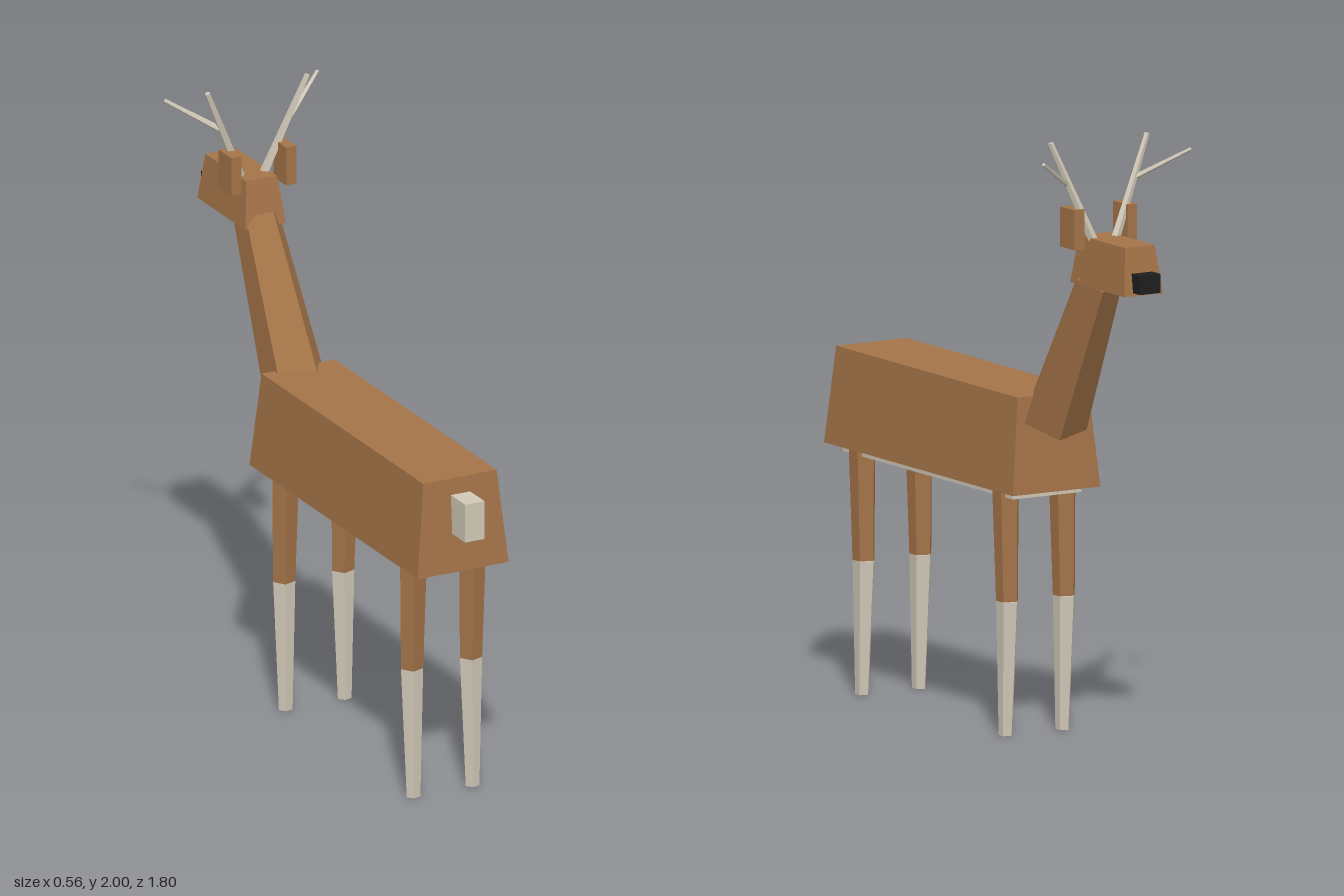
import * as THREE from 'three';

const material = (name, color) => {
  const m = new THREE.MeshStandardMaterial({ color });
  m.name = name;
  return m;
};

export function createModel() {
  const model = new THREE.Group();
  model.name = 'deer';
  const brown = material('brown coat', 0xa37348);
  const cream = material('cream', 0xd0c8b7);
  const black = material('black', 0x1e1e20);

  // Adds a faceted mesh
  function add(name, geometry, mat) {
    const flat = geometry.toNonIndexed();
    flat.computeVertexNormals();
    const mesh = new THREE.Mesh(flat, mat);
    mesh.name = name;
    model.add(mesh);
    return mesh;
  }

  // Block between [x0,x1], [y0,y1], [z0,z1]; its top face is drawn in by tx, tzBack and tzFront
  function block(name, mat, [x0, x1], [y0, y1], [z0, z1], tx = 0, tzMin = 0, tzMax = 0) {
    const g = new THREE.BoxGeometry(1, 1, 1);
    const p = g.attributes.position;
    for (let i = 0; i < p.count; i++) {
      const t = p.getY(i) > 0 ? 1 : 0;
      p.setXYZ(i,
        p.getX(i) > 0 ? x1 - t * tx : x0 + t * tx,
        t ? y1 : y0,
        p.getZ(i) > 0 ? z1 - t * tzMax : z0 + t * tzMin);
    }
    return add(name, g, mat);
  }

  // Tapered five-sided limb from a to b, turned about its own axis
  function limb(name, mat, a, b, ra, rb, turn) {
    const start = new THREE.Vector3(...a);
    const end = new THREE.Vector3(...b);
    const axis = end.clone().sub(start);
    const g = new THREE.CylinderGeometry(rb, ra, axis.length(), 5);
    g.rotateY(turn);
    const mesh = add(name, g, mat);
    mesh.quaternion.setFromUnitVectors(new THREE.Vector3(0, 1, 0), axis.normalize());
    mesh.position.copy(start.add(end).multiplyScalar(0.5));
    return mesh;
  }

  // Torso, belly and tail
  block('body', brown, [-0.165, 0.165], [0.805, 1.12], [-0.33, 0.82], 0.032, 0.022, 0.022);
  block('belly', cream, [-0.13, 0.13], [0.782, 0.81], [-0.272, 0.762]);
  block('tail', cream, [-0.035, 0.035], [0.935, 1.065], [0.79, 0.9]);

  // Neck and head
  limb('neck', brown, [0, 1.035, -0.312], [0, 1.54, -0.587], 0.11, 0.078, Math.PI / 2);
  block('head', brown, [-0.073, 0.073], [1.525, 1.68], [-0.86, -0.53], 0.017, 0.023, 0.028);
  block('nose', black, [-0.039, 0.039], [1.535, 1.597], [-0.9, -0.82]);

  for (const [side, s] of [['left', 1], ['right', -1]]) {
    // Ears
    block(side + 'Ear', brown, s > 0 ? [0.081, 0.118] : [-0.118, -0.081], [1.647, 1.777], [-0.63, -0.542]);

    // Antlers
    limb(side + 'Antler', cream, [s * 0.035, 1.655, -0.622], [s * 0.182, 1.996, -0.587], 0.016, 0.009, Math.PI / 2);
    limb(side + 'AntlerBranch', cream, [s * 0.13, 1.86, -0.602], [s * 0.278, 1.952, -0.7], 0.01, 0.006, Math.PI / 2);

    // Legs with a slight bend at the knee
    for (const [end, z] of [['Front', -0.197], ['Back', 0.677]]) {
      const x = s * 0.107;
      const knee = [x, 0.44, z - 0.009];
      limb(side + end + 'UpperLeg', brown, knee, [x, 0.82, z], 0.038, 0.046, -Math.PI / 2);
      limb(side + end + 'LowerLeg', cream, [x, 0.001, z + 0.003], knee, 0.0235, 0.038, -Math.PI / 2);
    }
  }
  return model;
}
